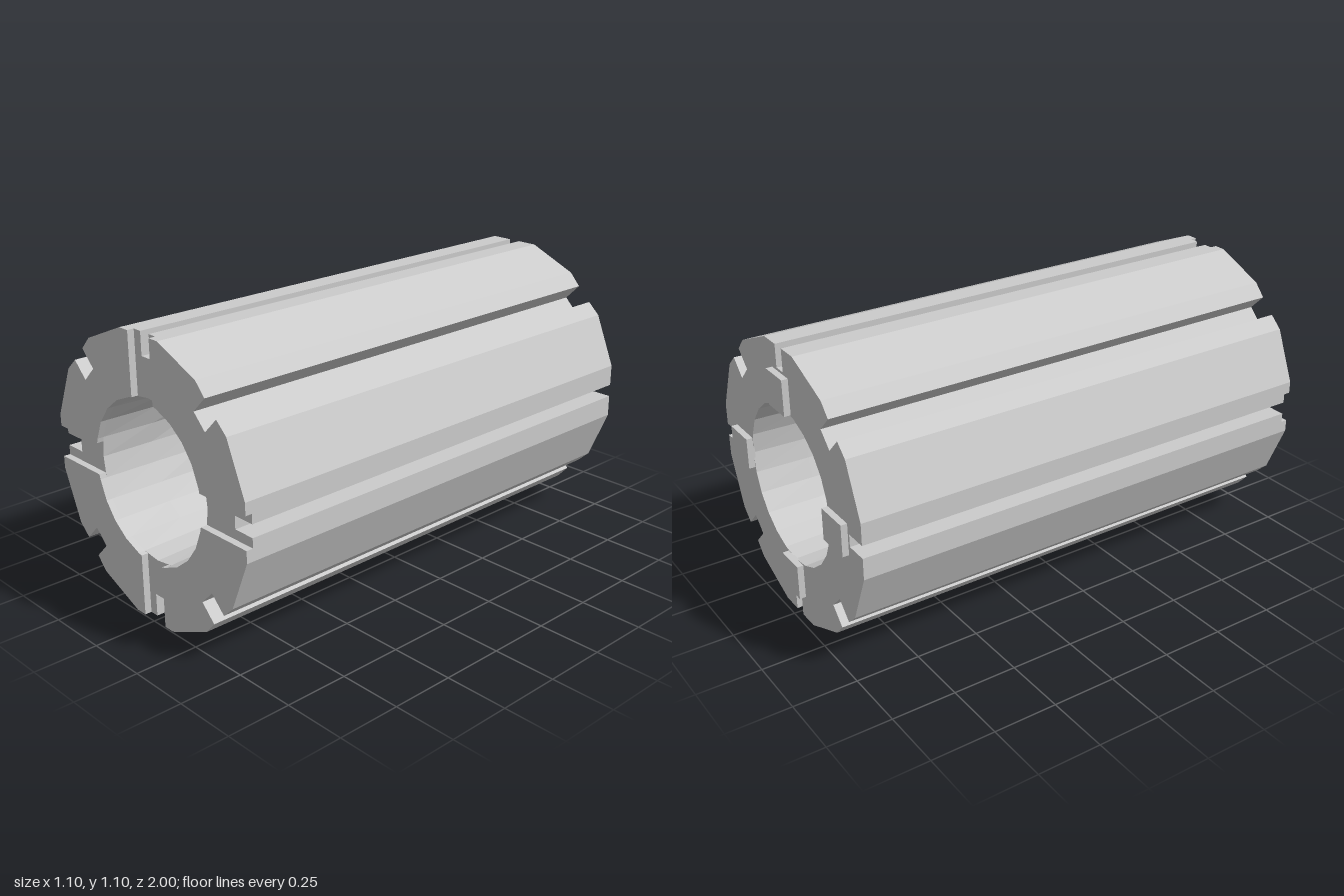
import * as THREE from 'three';

const BORE = 0.313, SIDES = 24, AXIS_Y = 0.55;
const BACK = -0.975, NOTCH = 0.968, FRONT = 0.995;
const HALF = 0.0625; // half width of end notches and tabs

// outer corners of one quarter, from the top round to the side, with the diagonal slot
const QUARTER = [
  [0.11, 0.55], [0.312, 0.465], [0.358, 0.415], [0.296, 0.353],
  [0.353, 0.296], [0.415, 0.358], [0.465, 0.312], [0.55, 0.11],
];

const toPoints = (list) => list.map(([x, y]) => new THREE.Vector2(x, y));
const origin = new THREE.Vector2();

// repeatable value from 0 to 1 for a pair of numbers
function hash(a, b) {
  const s = Math.sin(a * 12.9898 + b * 78.233) * 43758.5453;
  return s - Math.floor(s);
}

// slotted tube, with the bore slightly uneven along its length
function tubeGeometry() {
  const quarter = toPoints([[0.025, 0.46], [0.025, 0.55], ...QUARTER, [0.55, 0.025], [0.46, 0.025]]);
  const outline = [];
  for (let q = 0; q < 4; q++) {
    for (const p of quarter) outline.push(p.clone().rotateAround(origin, -q * Math.PI / 2));
  }
  const shape = new THREE.Shape(outline);
  const ring = [];
  for (let i = 0; i < SIDES; i++) {
    ring.push(new THREE.Vector2(BORE, 0).rotateAround(origin, i / SIDES * Math.PI * 2));
  }
  shape.holes.push(new THREE.Path(ring));

  const steps = 9, length = NOTCH - BACK;
  const geo = new THREE.ExtrudeGeometry(shape, { depth: length, steps, bevelEnabled: false });
  const pos = geo.attributes.position;
  for (let i = 0; i < pos.count; i++) {
    const x = pos.getX(i), y = pos.getY(i);
    const layer = Math.round(pos.getZ(i) / length * steps);
    if (Math.hypot(x, y) > BORE + 0.01 || layer === 0 || layer === steps) continue;
    const side = (Math.round(Math.atan2(y, x) / (Math.PI * 2) * SIDES) + SIDES) % SIDES;
    const k = 1 - 0.03 * hash(side + 1, layer);
    pos.setXY(i, x * k, y * k);
  }
  geo.translate(0, 0, BACK);
  geo.computeVertexNormals();
  return geo;
}

// raised quarter of the front face, between two notches
function padGeometry() {
  const a0 = Math.asin(HALF / BORE);
  const points = toPoints([[HALF, 0.55], ...QUARTER, [0.55, HALF]]);
  const angles = [a0, ...[1, 2, 3, 4, 5].map((i) => i * Math.PI * 2 / SIDES), Math.PI / 2 - a0];
  for (const a of angles) points.push(new THREE.Vector2(Math.cos(a) * BORE, Math.sin(a) * BORE));
  const geo = new THREE.ExtrudeGeometry(new THREE.Shape(points), { depth: FRONT - NOTCH, bevelEnabled: false });
  return geo.translate(0, 0, NOTCH);
}

export function createModel() {
  const model = new THREE.Group();
  model.name = 'slottedTube';
  const material = new THREE.MeshStandardMaterial({ color: 0xcccccc, flatShading: true });
  const add = (name, geometry, turn = 0) => {
    const mesh = new THREE.Mesh(geometry, material);
    mesh.name = name;
    mesh.position.y = AXIS_Y;
    mesh.rotation.z = turn;
    model.add(mesh);
  };

  add('tubeBody', tubeGeometry());

  // front pads leave a cross of notches; back tabs match those notches
  const pad = padGeometry();
  const tab = new THREE.BoxGeometry(HALF * 2, 0.14, 0.03).translate(0, 0.38, -0.985);
  for (let q = 0; q < 4; q++) {
    add('frontPad' + (q + 1), pad, q * Math.PI / 2);
    add('backTab' + (q + 1), tab, q * Math.PI / 2);
  }
  return model;
}
